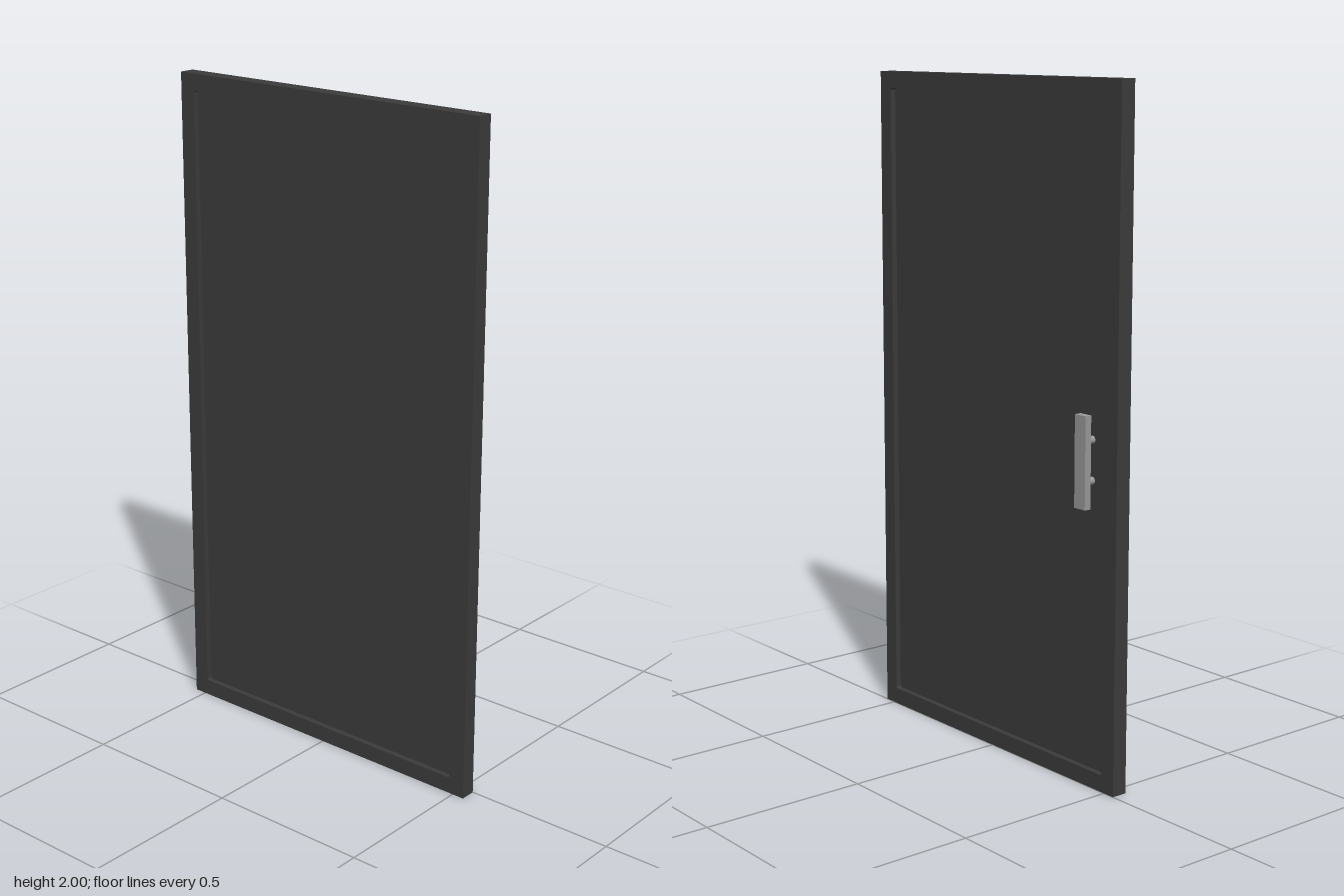
import * as THREE from 'three';

const HALF_WIDTH = 0.538, HEIGHT = 2, BORDER = 0.05;
const BACK = -0.048, FRONT = 0;

// Rounded rectangle outline, centred on u = 0
function roundedRect(path, halfW, y0, y1, r) {
  path.moveTo(-halfW + r, y0);
  path.lineTo(halfW - r, y0);
  path.quadraticCurveTo(halfW, y0, halfW, y0 + r);
  path.lineTo(halfW, y1 - r);
  path.quadraticCurveTo(halfW, y1, halfW - r, y1);
  path.lineTo(-halfW + r, y1);
  path.quadraticCurveTo(-halfW, y1, -halfW, y1 - r);
  path.lineTo(-halfW, y0 + r);
  path.quadraticCurveTo(-halfW, y0, -halfW + r, y0);
  return path;
}

export function createModel() {
  const door = new THREE.Group();
  door.name = 'cabinetDoor';

  const charcoal = new THREE.MeshStandardMaterial({ color: 0x3b3b3b });
  charcoal.name = 'charcoal';
  const steel = new THREE.MeshStandardMaterial({ color: 0x999999 });
  steel.name = 'brushed steel';

  const add = (parent, name, geometry, material, x, y, z) => {
    const mesh = new THREE.Mesh(geometry, material);
    mesh.name = name;
    mesh.position.set(x, y, z);
    parent.add(mesh);
    return mesh;
  };

  // Frame: outer rectangle with a softly cornered opening, extruded along x
  const outline = new THREE.Shape();
  outline.moveTo(-HALF_WIDTH, 0);
  outline.lineTo(HALF_WIDTH, 0);
  outline.lineTo(HALF_WIDTH, HEIGHT);
  outline.lineTo(-HALF_WIDTH, HEIGHT);
  outline.closePath();
  outline.holes.push(
    roundedRect(new THREE.Path(), HALF_WIDTH - BORDER, BORDER, HEIGHT - BORDER, 0.008));
  const frame = new THREE.ExtrudeGeometry(outline, {
    depth: FRONT - BACK, bevelEnabled: false, curveSegments: 4,
  });
  frame.rotateY(Math.PI / 2);
  add(door, 'frame', frame, charcoal, BACK, 0, 0);

  // Panel set back from both faces of the frame
  const panelSize = [0.014, HEIGHT - 2 * BORDER + 0.01, 2 * (HALF_WIDTH - BORDER) + 0.01];
  add(door, 'panel', new THREE.BoxGeometry(...panelSize), charcoal,
    (FRONT + BACK) / 2, HEIGHT / 2, 0);

  // Pull handle: flat grip on two round posts
  const handle = new THREE.Group();
  handle.name = 'handle';
  handle.position.set(0, 0.957, -0.437);
  door.add(handle);
  add(handle, 'grip', new THREE.BoxGeometry(0.021, 0.265, 0.044), steel, 0.0355, 0, 0);
  const post = new THREE.CylinderGeometry(0.011, 0.011, 0.027, 24).rotateZ(Math.PI / 2);
  for (const side of [-1, 1]) {
    add(handle, side > 0 ? 'upperPost' : 'lowerPost', post, steel, 0.0125, side * 0.058, 0);
  }

  return door;
}
